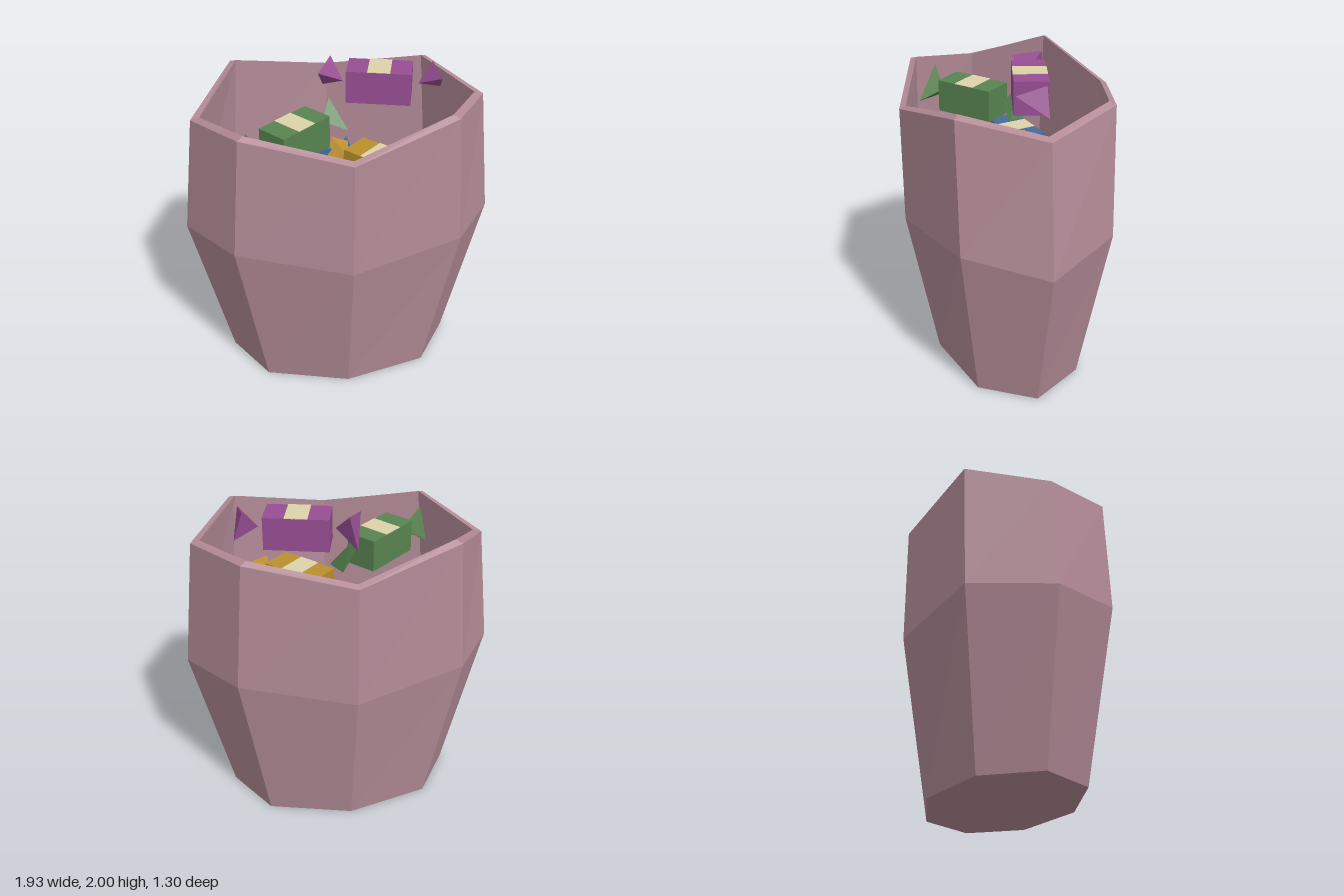
import * as THREE from 'three';

const mat = (name, color) => {
  const m = new THREE.MeshStandardMaterial({ color });
  m.name = name;
  m.flatShading = true;
  return m;
};

// Flat-shaded mesh from [x, y, z] points and faces given counter-clockwise
function facetMesh(name, points, faces, material) {
  const g = new THREE.BufferGeometry();
  g.setAttribute('position', new THREE.Float32BufferAttribute(points.flat(), 3));
  g.setIndex(faces.flat());
  const geo = g.toNonIndexed();
  geo.computeVertexNormals();
  const mesh = new THREE.Mesh(geo, material);
  mesh.name = name;
  return mesh;
}

// Eight-sided ring, starting at +x and turning towards +z
function ring(rx, rz, cx, cz, heightAt) {
  const pts = [];
  for (let i = 0; i < 8; i++) {
    const a = (i * Math.PI) / 4;
    const sx = Math.sign(Math.round(Math.cos(a) * 10));
    const sz = Math.sign(Math.round(Math.sin(a) * 10));
    const corner = i % 2 === 1;
    pts.push([sx * (corner ? cx : rx), heightAt(i), sz * (corner ? cz : rz)]);
  }
  return pts;
}

// Open bag: rings run up the outside, over the rim and down to the inner floor
function makeBag(material) {
  const rim = [1.8, 1.88, 1.73, 1.83, 1.74, 1.9, 1.765, 1.865];
  const bulge = (i) => (i % 2 ? 1.07 : 1.0);
  const rings = [
    ring(0.725, 0.465, 0.515, 0.33, () => 0),
    ring(0.965, 0.65, 0.68, 0.46, bulge),
    ring(0.88, 0.65, 0.62, 0.46, (i) => rim[i]),
    ring(0.825, 0.61, 0.585, 0.43, (i) => rim[i] + 0.015),
    ring(0.915, 0.61, 0.645, 0.43, bulge),
    ring(0.68, 0.43, 0.48, 0.305, () => 0.04),
  ];
  const points = rings.flat();
  const faces = [];
  for (let r = 0; r < rings.length - 1; r++) {
    for (let i = 0; i < 8; i++) {
      const a = r * 8 + i, b = r * 8 + ((i + 1) % 8);
      faces.push([a, a + 8, b], [b, a + 8, b + 8]);
    }
  }
  // Underside and inner floor
  const top = (rings.length - 1) * 8;
  for (let i = 1; i < 7; i++) {
    faces.push([0, i, i + 1], [top, top + i + 1, top + i]);
  }
  return facetMesh('bag', points, faces, material);
}

// Pyramid-shaped twist of wrapper: the tip first, then three base corners
function makeTwist(name, pts, material) {
  const [a, b, c, d] = pts.map((p) => new THREE.Vector3(...p));
  const n = b.clone().sub(a).cross(c.clone().sub(a));
  const p = n.dot(d.clone().sub(a)) > 0 ? [pts[0], pts[2], pts[1], pts[3]] : pts;
  return facetMesh(name, p, [[0, 1, 2], [0, 2, 3], [0, 3, 1], [1, 3, 2]], material);
}

// Wrapped sweet: block, label on top and a twist at either end
function makeSweet(name, { at, turn, left, right }, material, cream) {
  const sweet = new THREE.Group();
  sweet.name = name;
  const body = new THREE.Group();
  body.name = 'wrappedBlock';
  body.position.set(...at);
  body.rotation.y = turn;
  const block = new THREE.Mesh(new THREE.BoxGeometry(0.385, 0.2, 0.2), material);
  block.name = 'block';
  const label = new THREE.Mesh(new THREE.BoxGeometry(0.135, 0.004, 0.2), cream);
  label.name = 'label';
  label.position.y = 0.101;
  body.add(block, label);
  sweet.add(body, makeTwist('leftTwist', left, material), makeTwist('rightTwist', right, material));
  return sweet;
}

export function createModel() {
  const model = new THREE.Group();
  model.name = 'bagOfSweets';
  const cream = mat('cream', 0xddd2aa);
  model.add(makeBag(mat('dustyPink', 0xb48c98)));

  model.add(makeSweet('purpleSweet', {
    at: [0.255, 1.883, -0.07], turn: -0.25,
    left: [[0.04, 1.885, -0.11], [-0.115, 1.96, -0.067], [-0.02, 2.0, -0.23], [-0.065, 1.8, -0.26]],
    right: [[0.48, 1.885, -0.015], [0.59, 1.965, 0.115], [0.575, 2.0, -0.07], [0.63, 1.83, -0.07]],
  }, mat('purple', 0x964e92), cream));

  model.add(makeSweet('greenSweet', {
    at: [-0.277, 1.655, 0.136], turn: 0.71,
    left: [[-0.45, 1.66, 0.285], [-0.57, 1.79, 0.31], [-0.485, 1.58, 0.44], [-0.61, 1.57, 0.27]],
    right: [[-0.1, 1.675, -0.01], [-0.046, 1.78, -0.11], [0.06, 1.6, -0.01], [0.0, 1.6, -0.13]],
  }, mat('green', 0x578450), cream));

  model.add(makeSweet('yellowSweet', {
    at: [0.225, 1.42, 0.15], turn: -0.8,
    left: [[0.06, 1.42, -0.01], [-0.03, 1.5, -0.13], [0.08, 1.45, -0.15], [-0.08, 1.32, -0.03]],
    right: [[0.38, 1.42, 0.305], [0.545, 1.47, 0.33], [0.405, 1.45, 0.465], [0.48, 1.3, 0.41]],
  }, mat('yellow', 0xbb902e), cream));

  model.add(makeSweet('blueSweet', {
    at: [-0.245, 1.34, -0.14], turn: 0.21,
    left: [[-0.465, 1.34, -0.088], [-0.61, 1.4, -0.17], [-0.57, 1.41, 0.03], [-0.6, 1.23, -0.06]],
    right: [[-0.025, 1.34, -0.19], [0.09, 1.4, -0.305], [0.11, 1.38, -0.17], [0.06, 1.23, -0.22]],
  }, mat('blue', 0x436c99), cream));

  return model;
}
